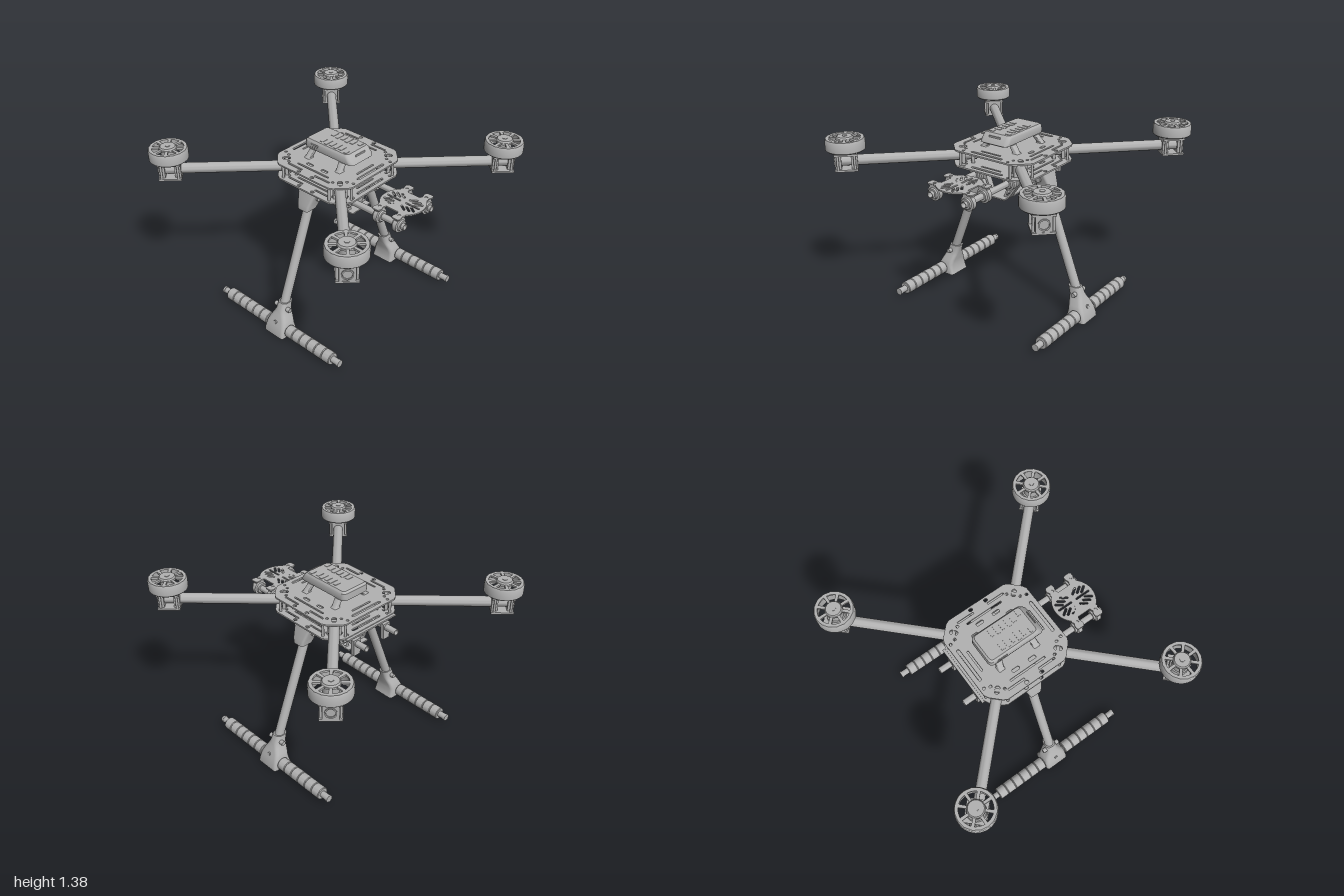
import * as THREE from 'three';
import { toCreasedNormals } from 'three/addons/utils/BufferGeometryUtils.js';

const PI = Math.PI;
const UP = new THREE.Vector3(0, 1, 0);

export function createModel() {
  const grey = new THREE.MeshStandardMaterial({ color: 0xb2b2b2 });
  grey.name = 'plain grey';
  const root = new THREE.Group();
  root.name = 'quadcopterFrame';

  const group = (name, parent = root) => {
    const g = new THREE.Group();
    g.name = name;
    parent.add(g);
    return g;
  };
  const add = (parent, name, geo, x = 0, y = 0, z = 0) => {
    const m = new THREE.Mesh(geo, grey);
    m.name = name;
    m.position.set(x, y, z);
    parent.add(m);
    return m;
  };
  const box = (parent, name, w, h, d, x, y, z) => add(parent, name, new THREE.BoxGeometry(w, h, d), x, y, z);

  // Rod between two points; with an inner radius it is a hollow tube
  const rod = (parent, name, a, b, r, inner = 0) => {
    const p = new THREE.Vector3(...a), q = new THREE.Vector3(...b);
    const len = p.distanceTo(q);
    const geo = inner ? lathe([[inner, -len / 2], [r, -len / 2], [r, len / 2], [inner, len / 2], [inner, -len / 2]], 24)
      : new THREE.CylinderGeometry(r, r, len, 24);
    const m = add(parent, name, geo);
    m.position.copy(p).add(q).multiplyScalar(0.5);
    m.quaternion.setFromUnitVectors(UP, q.sub(p).normalize());
    return m;
  };
  const lathe = (pts, n = 40) =>
    toCreasedNormals(new THREE.LatheGeometry(pts.map(p => new THREE.Vector2(...p)), n), 0.6);

  // Flat shape laid in the xz plane, its top at y = 0
  const flat = (shape, t) => new THREE.ExtrudeGeometry(shape, { depth: t, bevelEnabled: false, curveSegments: 8 }).rotateX(PI / 2);
  const slot = (x, y, len, w, ang = 0) => {
    const h = (len - w) / 2, c = Math.cos(ang) * h, s = Math.sin(ang) * h;
    const p = new THREE.Path();
    p.absarc(x + c, y + s, w / 2, ang - PI / 2, ang + PI / 2);
    p.absarc(x - c, y - s, w / 2, ang + PI / 2, ang + 1.5 * PI);
    p.closePath();
    return p;
  };

  // Loft of rounded rectangles: [y, centreX, centreZ, halfX, halfZ, cornerRadius]
  const loft = sections => {
    const pos = [], idx = [], N = 20;
    for (const [y, cx, cz, hx, hz, r] of sections)
      for (let i = 0; i < N; i++) {
        const k = Math.floor(i / 5), a = k * PI / 2 + (i % 5) * PI / 8;
        const sx = k === 0 || k === 3 ? 1 : -1, sz = k < 2 ? 1 : -1;
        pos.push(cx + sx * (hx - r) + r * Math.cos(a), y, cz + sz * (hz - r) + r * Math.sin(a));
      }
    const last = sections.length - 1;
    for (let s = 0; s < last; s++)
      for (let i = 0; i < N; i++) {
        const j = (i + 1) % N, a = s * N + i, b = s * N + j;
        idx.push(a, a + N, b + N, a, b + N, b);
      }
    for (let i = 1; i < N - 1; i++) idx.push(0, i, i + 1, last * N, last * N + i + 1, last * N + i);
    const g = new THREE.BufferGeometry();
    g.setAttribute('position', new THREE.Float32BufferAttribute(pos, 3));
    g.setIndex(idx);
    return toCreasedNormals(g, 0.6);
  };

  // Body: two slotted octagonal plates
  const body = group('body');
  const plate = new THREE.Shape([[0.36, 0.24], [0.345, 0.27], [0.27, 0.345], [0.24, 0.36], [-0.24, 0.36], [-0.27, 0.345], [-0.345, 0.27], [-0.36, 0.24],
    [-0.36, -0.24], [-0.345, -0.27], [-0.27, -0.345], [-0.24, -0.36], [0.24, -0.36], [0.27, -0.345], [0.345, -0.27], [0.36, -0.24]]
    .map(p => new THREE.Vector2(...p)));
  for (const s of [-1, 1]) {
    plate.holes.push(slot(s * 0.315, 0, 0.28, 0.022, PI / 2), slot(s * 0.265, 0, 0.18, 0.014, PI / 2));
    plate.holes.push(slot(0, s * 0.26, 0.3, 0.014));
    for (const t of [-1, 1]) {
      plate.holes.push(slot(s * 0.13, t * 0.305, 0.14, 0.014), slot(s * 0.07, t * 0.215, 0.06, 0.025));
      plate.holes.push(slot(s * 0.065, t * 0.335, 0.03, 0.024), slot(s * 0.33, t * 0.2, 0.022, 0.02));
      plate.holes.push(slot(s * 0.285, t * 0.215, 0.022, 0.02), slot(s * 0.215, t * 0.285, 0.022, 0.02));
      plate.holes.push(slot(s * 0.262, t * 0.262, 0.06, 0.035, s * t * PI / 4));
    }
  }
  add(body, 'topPlate', flat(plate, 0.012), 0, 1.243, 0);
  add(body, 'bottomPlate', flat(plate, 0.012), 0, 1.125, 0);
  box(body, 'sideStrip', 0.035, 0.012, 0.49, -0.363, 1.113, 0);
  for (const sx of [-1, 1]) for (const sz of [-1, 1])
    for (const [x, z] of [[0.335, 0.225], [0.225, 0.335]])
      rod(body, 'standoff', [sx * x, 1.12, sz * z], [sx * x, 1.24, sz * z], 0.01);

  // Electronics pod on four splayed feet
  const pod = group('pod');
  add(pod, 'podShell', loft([[1.295, 0.015, 0, 0.215, 0.105, 0.03], [1.305, 0.014, 0, 0.23, 0.122, 0.035],
    [1.325, 0.008, 0, 0.224, 0.125, 0.035], [1.358, -0.004, 0, 0.21, 0.12, 0.03], [1.372, -0.005, 0, 0.195, 0.108, 0.025]]));
  for (const sx of [-1, 1]) for (const sz of [-1, 1]) {
    add(pod, 'podFoot', loft([[1.24, sx * 0.15, sz * 0.145, 0.028, 0.03, 0.01], [1.25, sx * 0.15, sz * 0.14, 0.022, 0.022, 0.01],
      [1.3, sx * 0.14, sz * 0.1, 0.026, 0.02, 0.01]]));
    for (let i = 0; i < 5; i++)
      box(pod, 'podVent', 0.028, 0.006, i % 2 ? 0.07 : 0.055, -0.08 + i * 0.045, 1.372, sz * 0.06);
    box(pod, 'podSwitch', 0.026, 0.006, 0.045, 0.155, 1.372, sz * 0.075);
  }
  for (let i = 0; i < 4; i++) {
    const v = box(pod, 'sideVent', 0.012, 0.035, 0.005, -0.15 + i * 0.02, 1.335, 0.124);
    v.rotation.z = -0.5;
  }
  box(pod, 'podPort', 0.005, 0.012, 0.1, 0.216, 1.352, 0);

  // Motor bell top with open spokes
  const bellTop = new THREE.Shape();
  bellTop.absarc(0, 0, 0.138, 0, 2 * PI);
  const SP = 8;
  for (let i = 0; i < SP; i++) {
    const a = i * 2 * PI / SP, h = new THREE.Path();
    h.absarc(0, 0, 0.114, a + 0.1, a + 2 * PI / SP - 0.1, false);
    h.absarc(0, 0, 0.064, a + 2 * PI / SP - 0.16, a + 0.16, true);
    h.closePath();
    bellTop.holes.push(h);
  }
  const bellTopGeo = flat(bellTop, 0.014);
  const bellGeo = lathe([[0.12, 1.262], [0.132, 1.262], [0.143, 1.272], [0.143, 1.338], [0.135, 1.352], [0.12, 1.352], [0.12, 1.262]], 48);

  // Four arms, each built along +x and turned to a corner
  for (let k = 0; k < 4; k++) {
    const arm = group('arm');
    arm.rotation.y = PI / 4 + k * PI / 2;
    const D = 1.212;
    rod(arm, 'armTube', [0.27, 1.18, 0], [D + 0.088, 1.18, 0], 0.039, 0.03);
    for (const x of [0.3, 0.37]) box(arm, 'bodyClamp', 0.025, 0.11, 0.1, x, 1.181, 0);
    box(arm, 'mountTop', 0.165, 0.014, 0.15, D, 1.238, 0);
    box(arm, 'mountBottom', 0.165, 0.014, 0.15, D, 1.122, 0);
    for (const s of [-1, 1]) {
      box(arm, 'mountClamp', 0.045, 0.104, 0.105, D + s * 0.058, 1.18, 0);
      for (const t of [-1, 1])
        rod(arm, 'mountBolt', [D + s * 0.06, 1.12, t * 0.063], [D + s * 0.06, 1.24, t * 0.063], 0.009);
    }
    const motor = group('motor', arm);
    motor.position.x = D;
    add(motor, 'motorBase', new THREE.CylinderGeometry(0.065, 0.07, 0.03, 32), 0, 1.255, 0);
    add(motor, 'motorCore', new THREE.CylinderGeometry(0.055, 0.055, 0.085, 32), 0, 1.3, 0);
    add(motor, 'motorBell', bellGeo);
    add(motor, 'bellSpokes', bellTopGeo, 0, 1.353, 0);
    add(motor, 'motorCap', new THREE.CylinderGeometry(0.054, 0.062, 0.014, 32), 0, 1.358, 0);
    add(motor, 'shaftNut', new THREE.CylinderGeometry(0.018, 0.018, 0.006, 16), 0, 1.366, 0);
  }

  // Landing legs, the second turned to the back
  for (const turn of [0, PI]) {
    const leg = group('landingLeg');
    leg.rotation.y = turn;
    const z = y => 0.66 - 0.385 * (y - 0.05);
    rod(leg, 'legTube', [0, 0.12, z(0.12)], [0, 1.06, z(1.06)], 0.036);
    add(leg, 'hipBracket', loft([[0.96, 0, 0.325, 0.05, 0.054, 0.02], [1.0, 0, 0.31, 0.058, 0.062, 0.02],
      [1.07, 0, 0.275, 0.075, 0.068, 0.02], [1.118, 0, 0.265, 0.092, 0.064, 0.015]]));
    rod(leg, 'hipPivot', [-0.083, 1.05, 0.285], [0.083, 1.05, 0.285], 0.02);
    add(leg, 'foot', loft([[0, 0, 0.642, 0.098, 0.085, 0.02], [0.025, 0, 0.645, 0.098, 0.08, 0.025],
      [0.08, 0, 0.64, 0.094, 0.066, 0.03], [0.12, 0, 0.627, 0.08, 0.06, 0.03], [0.16, 0, 0.613, 0.058, 0.056, 0.03],
      [0.19, 0, 0.603, 0.047, 0.053, 0.035], [0.25, 0, 0.582, 0.042, 0.05, 0.035]]));
    rod(leg, 'footBolt', [-0.075, 0.2, 0.61], [0.075, 0.2, 0.61], 0.018);
    const screw = rod(leg, 'footScrew', [0, 0.1, 0.68], [0, 0.105, 0.7], 0.014);
    screw.scale.y = 1.2;
    // Skid with foam rings
    rod(leg, 'skidTube', [-0.62, 0.052, 0.655], [0.62, 0.052, 0.655], 0.025);
    for (const s of [-1, 1]) {
      rod(leg, 'skidCap', [s * 0.605, 0.052, 0.655], [s * 0.622, 0.052, 0.655], 0.028);
      for (let i = 0; i < 6; i++) {
        const x = s * (0.138 + i * 0.075);
        const foam = add(leg, 'foamRing', lathe([[0.02, -0.037], [0.045, -0.037], [0.049, -0.032], [0.049, 0.032], [0.045, 0.037], [0.02, 0.037]], 28), x, 0.052, 0.655);
        foam.rotation.z = PI / 2;
      }
    }
  }

  // Payload rails with collars and hangers
  const payload = group('payload');
  const collarGeo = lathe([[0.024, -0.033], [0.038, -0.033], [0.042, -0.02], [0.056, -0.016], [0.056, 0.016], [0.042, 0.02], [0.038, 0.033], [0.024, 0.033], [0.024, -0.033]], 28).rotateZ(PI / 2);
  for (const s of [-1, 1]) {
    rod(payload, 'rail', [-0.475, 1.05, s * 0.15], [0.755, 1.05, s * 0.15], 0.024, 0.019);
    for (const x of [-0.245, 0.245, 0.53, 0.7]) {
      add(payload, 'railCollar', collarGeo, x, 1.05, s * 0.15);
      box(payload, 'collarTab', 0.04, 0.022, 0.07, x, 1.107, s * 0.15);
    }
    // End plate bored for the rail
    const end = new THREE.Shape([[-0.03, -0.095], [0.03, -0.095], [0.035, 0.035], [-0.035, 0.035]].map(p => new THREE.Vector2(...p)));
    end.holes.push(slot(0, 0, 0.0481, 0.048));
    add(payload, 'railEndPlate', new THREE.ExtrudeGeometry(end, { depth: 0.03, bevelEnabled: false }).rotateY(PI / 2), -0.38, 1.05, s * 0.15);
    // Slanted hangers, each with a triangular opening
    const hang = new THREE.Shape([[0.185, 1.015], [0.1, 0.895], [0.055, 0.895], [0.105, 1.025]].map(p => new THREE.Vector2(-s * p[0], p[1])));
    hang.holes.push(new THREE.Path([[0.15, 0.995], [0.098, 0.918], [0.08, 0.918], [0.115, 1.0]].map(p => new THREE.Vector2(-s * p[0], p[1]))));
    for (const x of [-0.18, 0.165])
      add(payload, 'trayHanger', new THREE.ExtrudeGeometry(hang, { depth: 0.05, bevelEnabled: false }).rotateY(PI / 2), x - 0.025, 0, 0);
    for (const x of [-0.18, 0.165])
      rod(payload, 'hangerRing', [x - 0.025, 1.05, s * 0.15], [x + 0.025, 1.05, s * 0.15], 0.05, 0.024);
  }
  // Battery tray
  const tray = new THREE.Shape([[-0.245, -0.1], [0.24, -0.1], [0.24, 0.1], [-0.245, 0.1]].map(p => new THREE.Vector2(...p)));
  for (const z of [-0.05, 0.05]) for (const x of [-0.1, 0.1]) tray.holes.push(slot(x, z, 0.12, 0.018));
  add(payload, 'batteryTray', flat(tray, 0.01), 0, 0.902, 0);

  // Round accessory plate with tabs over the rail collars
  const acc = new THREE.Shape();
  for (const s of [1, -1]) {
    acc.absarc(0, 0, 0.165, (s > 0 ? 0 : PI) - 0.81, (s > 0 ? 0 : PI) + 0.81);
    for (const [x, z] of [[0.118, 0.13], [0.108, 0.145], [0.118, 0.165], [0.118, 0.19], [0.108, 0.2], [0.062, 0.2], [0.052, 0.19], [0.052, 0.165], [0.062, 0.145], [0.052, 0.12],
      [-0.052, 0.12], [-0.062, 0.145], [-0.052, 0.165], [-0.052, 0.19], [-0.062, 0.2], [-0.108, 0.2], [-0.118, 0.19], [-0.118, 0.165], [-0.108, 0.145], [-0.118, 0.13]])
      acc.lineTo(s * x, s * z);
  }
  for (const s of [-1, 1]) {
    acc.holes.push(slot(s * 0.08, 0, 0.12, 0.014), slot(0, s * 0.065, 0.08, 0.014));
    for (const t of [-1, 1]) {
      for (const [x, z] of [[0.045, 0.06], [0.08, 0.05], [0.108, 0.035]])
        acc.holes.push(slot(s * x, t * z, 0.065, 0.016, s * t * 0.6));
      acc.holes.push(slot(s * 0.085, t * 0.15, 0.0241, 0.024));
    }
  }
  add(payload, 'accessoryPlate', flat(acc, 0.01), 0.615, 1.123, 0);

  return root;
}
